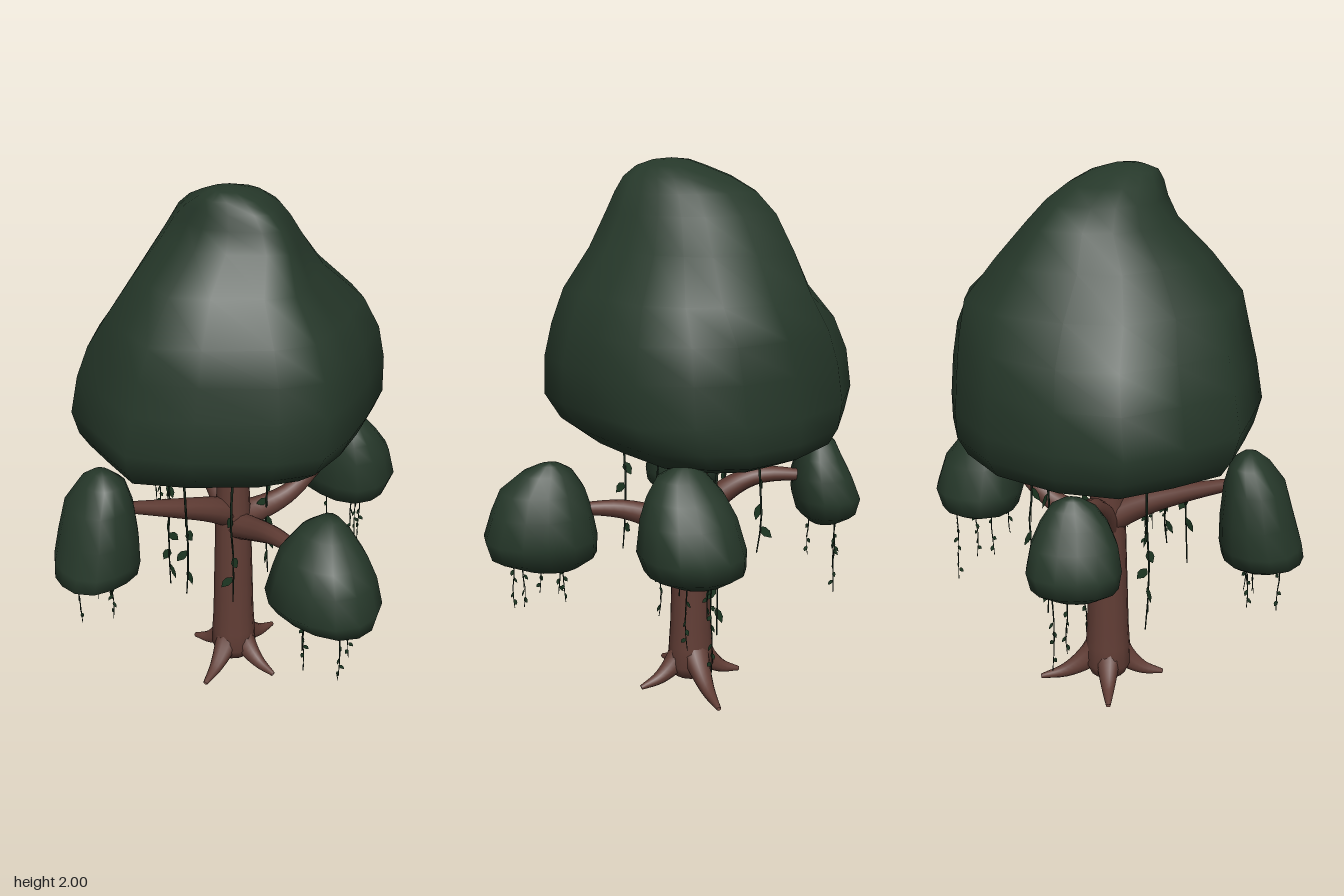
import * as THREE from 'three';
import { mergeGeometries } from 'three/addons/utils/BufferGeometryUtils.js';

const material = (name, color, side = THREE.FrontSide) =>
  Object.assign(new THREE.MeshStandardMaterial({ color, side }), { name });

// Closed smooth solid from rows [y, xMin, xMax, zMin, zMax, bulge], top to bottom, around a unit outline.
// The bulge swells the right-back corner of a row and trims its right-front corner.
function loft(rows, outline, endRise = -0.004) {
  const n = outline.length, pos = [], idx = [];
  for (const [y, x0, x1, z0, z1, bulge = 0] of rows)
    for (const [u, v] of outline) {
      const f = u > 0 ? 1 - bulge * u * v * (v < 0 ? 2 : 1) : 1;
      pos.push((x0 + x1) / 2 + f * u * (x1 - x0) / 2, y, (z0 + z1) / 2 + f * v * (z1 - z0) / 2);
    }
  const pole = ([y, x0, x1, z0, z1], dy) => pos.push((x0 + x1) / 2, y + dy, (z0 + z1) / 2);
  const top = rows.length * n, last = top - n;
  pole(rows[0], 0.006);
  pole(rows[rows.length - 1], endRise);
  for (let j = 0; j < n; j++) {
    const k = (j + 1) % n;
    idx.push(top, k, j, top + 1, last + j, last + k);
    for (let r = 0; r < last; r += n) idx.push(r + j, r + k, r + n + j, r + k, r + n + k, r + n + j);
  }
  const g = new THREE.BufferGeometry();
  g.setAttribute('position', new THREE.Float32BufferAttribute(pos, 3));
  g.setIndex(idx);
  g.computeVertexNormals();
  return g;
}

// Tube whose radius runs from r0 to r1.
function taperedTube(points, r0, r1, steps = 12, sides = 10) {
  const curve = new THREE.CatmullRomCurve3(points.map(p => new THREE.Vector3(...p)));
  const g = new THREE.TubeGeometry(curve, steps, 1, sides);
  const p = g.attributes.position, v = new THREE.Vector3();
  for (let i = 0; i < p.count; i++) {
    const t = Math.floor(i / (sides + 1)) / steps, c = curve.getPointAt(t);
    v.fromBufferAttribute(p, i).sub(c).multiplyScalar(r0 + (r1 - r0) * t).add(c);
    p.setXYZ(i, v.x, v.y, v.z);
  }
  g.computeBoundingSphere();
  return g;
}

// Hanging stem with alternating leaves.
function vine(x, z, yTop, yEnd, leaf, radius, seed) {
  const len = yTop - yEnd, count = Math.max(3, Math.round(len / (leaf * 1.8)));
  const sway = i => Math.sin(seed * 1.7 + i * 2.1) * radius * 1.5;
  const stem = taperedTube([0, 1, 2, 3].map(i => [x + sway(i), yTop - len * i / 3, z + sway(i + 5)]),
    radius, radius * 0.5, 5, 5);
  const shape = new THREE.Shape();
  shape.moveTo(0, 0);
  shape.quadraticCurveTo(leaf * 0.55, -leaf * 0.4, 0, -leaf);
  shape.quadraticCurveTo(-leaf * 0.55, -leaf * 0.4, 0, 0);
  const leaves = [];
  for (let i = 0; i < count; i++) {
    const g = new THREE.ShapeGeometry(shape, 3);
    g.rotateZ(0.55 + 0.3 * Math.sin(seed + i * 3));
    g.rotateY(seed * 1.3 + i * 2.4);
    g.translate(x, yTop - len * (0.28 + 0.68 * i / count), z);
    leaves.push(g);
  }
  return { stem, leaves };
}

export function createModel() {
  const group = new THREE.Group();
  const bark = material('bark', 0x613d35, THREE.DoubleSide);
  const foliage = material('foliage', 0x26382a);
  const stemGreen = material('vine stem', 0x18281c);
  const leafGreen = material('vine leaf', 0x1d3823, THREE.DoubleSide);
  const add = (name, geometry, mat) => {
    const m = new THREE.Mesh(geometry, mat);
    m.name = name;
    group.add(m);
  };

  // Main canopy, hollowed a little underneath
  const crown = [[0.58, -0.1], [0.56, 0.06], [0.49, 0.24], [0.28, 0.35], [0.12, 0.42], [-0.05, 0.46], [-0.2, 0.38],
    [-0.4, 0.18], [-0.53, 0], [-0.5, -0.2], [-0.465, -0.4], [-0.3, -0.55], [-0.12, -0.68], [0.1, -0.655],
    [0.35, -0.52], [0.51, -0.31]].map(([x, z]) => [(x - 0.025) / 0.555, (z + 0.11) / 0.57]);
  add('mainCanopy', loft([
    [1.994, -0.1, 0.01, -0.07, 0.06, 0.1],
    [1.975, -0.145, 0.08, -0.12, 0.12, 0.2],
    [1.94, -0.165, 0.145, -0.2, 0.17, 0.28],
    [1.89, -0.18, 0.205, -0.275, 0.205, 0.33],
    [1.82, -0.215, 0.265, -0.33, 0.24, 0.34],
    [1.7, -0.335, 0.37, -0.385, 0.295, 0.3],
    [1.56, -0.445, 0.515, -0.475, 0.39, 0.14],
    [1.44, -0.475, 0.558, -0.59, 0.435, 0.03],
    [1.32, -0.505, 0.575, -0.65, 0.462],
    [1.18, -0.53, 0.585, -0.675, 0.465],
    [1.09, -0.505, 0.58, -0.65, 0.41],
    [1.03, -0.465, 0.54, -0.61, 0.33],
    [0.99, -0.35, 0.45, -0.48, 0.2],
    [0.975, -0.22, 0.3, -0.34, 0.11],
    [1.0, -0.1, 0.16, -0.22, 0.04],
  ], crown, 0.03), foliage);

  // Four small canopies on the branch ends
  const small = {
    left: [
      [1.035, -0.53, -0.47, -0.22, -0.14], [1, -0.57, -0.43, -0.27, -0.09], [0.92, -0.63, -0.41, -0.315, -0.05],
      [0.8, -0.665, -0.4, -0.335, -0.03], [0.7, -0.695, -0.4, -0.34, -0.02], [0.645, -0.705, -0.41, -0.325, -0.03],
      [0.612, -0.66, -0.45, -0.27, -0.08]],
    right: [
      [1.035, 0.45, 0.51, 0.04, 0.12], [1, 0.405, 0.555, 0, 0.175], [0.94, 0.38, 0.61, -0.05, 0.21],
      [0.87, 0.365, 0.665, -0.085, 0.235], [0.76, 0.36, 0.7, -0.115, 0.25], [0.69, 0.38, 0.675, -0.115, 0.225],
      [0.652, 0.47, 0.62, -0.04, 0.14]],
    front: [
      [0.925, -0.04, 0.03, 0.42, 0.5], [0.89, -0.11, 0.055, 0.37, 0.56], [0.82, -0.185, 0.085, 0.325, 0.635],
      [0.74, -0.21, 0.115, 0.3, 0.67], [0.64, -0.24, 0.13, 0.28, 0.7], [0.57, -0.19, 0.105, 0.285, 0.68],
      [0.522, -0.11, 0.05, 0.36, 0.56]],
    back: [
      [0.995, 0.03, 0.1, -0.58, -0.53], [0.965, -0.01, 0.145, -0.605, -0.49], [0.91, -0.05, 0.18, -0.63, -0.47],
      [0.84, -0.08, 0.21, -0.665, -0.455], [0.755, -0.095, 0.225, -0.7, -0.455], [0.69, -0.085, 0.21, -0.685, -0.475],
      [0.648, -0.02, 0.14, -0.63, -0.52]],
  };
  Object.entries(small).forEach(([side, rows], s) => {
    const outline = Array.from({ length: 14 }, (_, i) => {
      const a = i / 14 * Math.PI * 2;
      const r = 1 + 0.05 * Math.sin(2 * a) ** 2 + 0.03 * Math.sin(3 * a + s * 1.6);
      return [Math.cos(a) * r, Math.sin(a) * r];
    });
    add(side + 'Canopy', loft(rows, outline), foliage);
  });

  // Trunk
  const profile = [[0, 0.045], [0.07, 0.045], [0.09, 0.09], [0.086, 0.17], [0.081, 0.25], [0.077, 0.4], [0.07, 0.65],
    [0.062, 0.85], [0.056, 1.08], [0, 1.08]].map(p => new THREE.Vector2(...p));
  const trunk = new THREE.LatheGeometry(profile, 14);
  trunk.translate(0.02, 0, -0.065);
  add('trunk', trunk, bark);

  // Roots, given by the offset of each tip from the trunk
  [[0.26, -0.04], [-0.21, 0.06], [0.03, 0.205], [-0.03, -0.205]].forEach(([dx, dz]) => {
    const at = (f, y) => [0.02 + dx * f, y, -0.065 + dz * f];
    add('root', taperedTube([at(0, 0.2), at(0.28, 0.105), at(0.62, 0.042), at(1, 0.013)], 0.068, 0.009, 14), bark);
  });

  // Branches
  const branches = {
    left: [[0.02, 0.7, -0.07], [-0.1, 0.765, -0.07], [-0.25, 0.825, -0.085], [-0.48, 0.905, -0.13]],
    right: [[0.02, 0.69, -0.06], [0.13, 0.695, -0.03], [0.25, 0.735, 0.01], [0.42, 0.87, 0.06]],
    front: [[0.02, 0.65, -0.07], [0.01, 0.69, 0.06], [-0.01, 0.73, 0.2], [-0.03, 0.74, 0.4]],
    back: [[0.02, 0.65, -0.06], [0.035, 0.77, -0.17], [0.055, 0.84, -0.3], [0.08, 0.835, -0.52]],
  };
  for (const [side, pts] of Object.entries(branches)) add(side + 'Branch', taperedTube(pts, 0.058, 0.018, 14), bark);

  // Vines: [x, z, top, end]
  const longVines = [[0.24, -0.1, 1, 0.3], [0.27, -0.25, 1, 0.62], [-0.27, 0, 1, 0.5], [-0.15, -0.25, 1, 0.35],
    [0.13, 0.01, 1, 0.42], [-0.18, 0.15, 1, 0.5]];
  const shortVines = [
    [-0.62, -0.2, 0.64, 0.43], [-0.53, -0.12, 0.64, 0.45], [-0.51, -0.24, 0.65, 0.46], [-0.5, -0.17, 0.64, 0.49],
    [0.45, 0.16, 0.7, 0.5], [0.48, 0, 0.69, 0.48], [0.57, 0.1, 0.67, 0.42], [0.63, 0.03, 0.7, 0.35],
    [-0.15, 0.49, 0.56, 0.36], [-0.08, 0.6, 0.56, 0.34], [-0.07, 0.41, 0.54, 0.35], [0, 0.57, 0.56, 0.38],
    [0.01, 0.44, 0.55, 0.42], [0.03, -0.53, 0.67, 0.49], [0.13, -0.6, 0.68, 0.37], [0.08, -0.62, 0.68, 0.45]];
  const vines = [
    ...longVines.map((v, i) => vine(...v, 0.062, 0.005, i + 1)),
    ...shortVines.map((v, i) => vine(...v, 0.027, 0.0028, i + 9)),
  ];
  add('vineStems', mergeGeometries(vines.map(v => v.stem)), stemGreen);
  add('vineLeaves', mergeGeometries(vines.flatMap(v => v.leaves)), leafGreen);
  return group;
}
